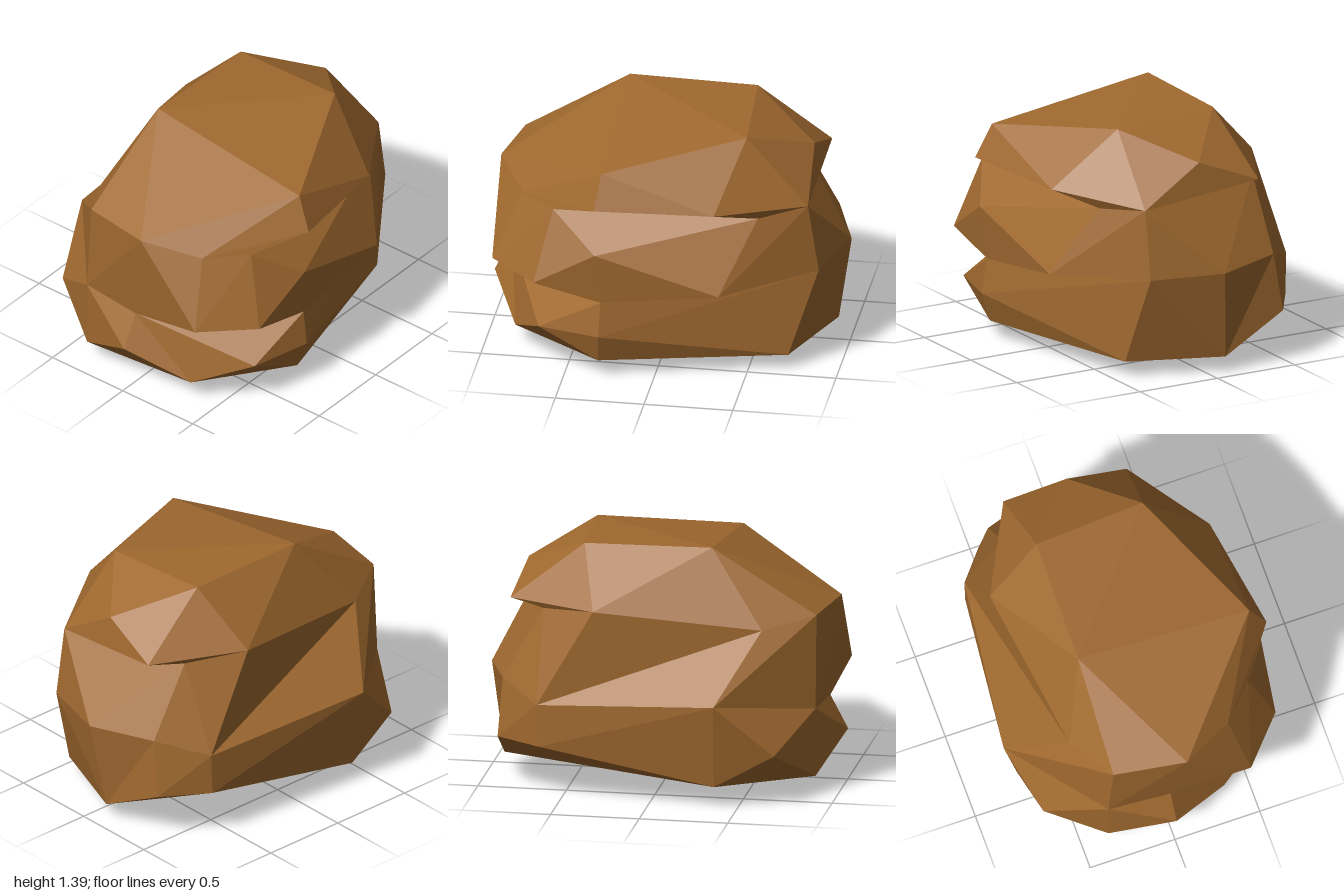
import * as THREE from 'three';
import { ConvexGeometry } from 'three/addons/geometries/ConvexGeometry.js';

const P = (x, y, z) => new THREE.Vector3(x, y, z);

export function createModel() {
  const group = new THREE.Group();
  group.name = 'rock';
  const stone = new THREE.MeshStandardMaterial({ color: 0xa0692f });
  stone.name = 'brown stone';

  // Corners shared by neighbouring slabs
  const leftPoint = P(-0.79, 0.6, 0.38);
  const leftBack = P(-0.66, 0.53, -0.64);
  const leftToe = P(-0.67, 0.3, 0.7);
  const frontLeft = P(-0.35, 0.5, 0.88);
  const footLeft = P(-0.35, 0.11, 0.88);
  const footRight = P(0.35, 0.12, 0.83);
  const footBack = P(-0.1, 0.09, -0.92);
  const footLeftBack = P(-0.66, 0.29, -0.63);
  const ledgeFront = P(0.01, 0.48, 0.9);
  const ledgeRight = P(0.72, 0.47, 0.29);
  const backLedge = P(-0.44, 0.62, -0.87);
  const backWaist = [P(0.36, 0.59, -0.88), P(-0.05, 0.6, -1), backLedge, leftBack];
  const browLeft = P(-0.32, 1.03, 0.88);
  const browRight = P(0.09, 1.04, 0.95);
  const cheek = P(-0.48, 0.97, 0.6);
  const leftShoulder = P(-0.62, 1.07, -0.33);
  const capBack = P(0.36, 0.98, -0.82);
  // Inner corners of the upper cleft, from the front round to the back left
  const notch = [P(0.39, 0.96, 0.78), P(0.58, 0.96, 0.58), P(0.5, 0.95, -0.56), P(-0.44, 1.03, -0.64)];

  // Each slab is a faceted block; the gaps between them form the clefts
  const slabs = {
    baseSlab: [
      P(-0.01, 0, 0.34),
      footLeft, footRight, P(0.69, 0.1, 0.31), P(0.43, 0.09, -0.72),
      footBack, footLeftBack, P(-0.71, 0.12, 0.37),
      P(0.66, 0.27, 0.65), P(0.75, 0.27, 0.3), leftToe,
      leftPoint, frontLeft, ledgeFront, ledgeRight, ...backWaist,
    ],
    frontToe: [P(0.01, 0.29, 1), ledgeFront, frontLeft, footLeft, footRight, leftToe, P(0, 0.3, 0.4)],
    backToe: [P(-0.49, 0.29, -0.89), backLedge, leftBack, footBack, footLeftBack, P(-0.2, 0.4, -0.4)],
    middleSlab: [
      frontLeft, ledgeFront, ledgeRight, ...backWaist,
      P(0.47, 0.58, 0.94), P(0.71, 0.56, 0.67), P(0.71, 0.55, -0.37), P(0.75, 0.77, 0.32),
      browLeft, browRight, cheek, leftShoulder, capBack, ...notch,
    ],
    leftFlank: [browLeft, cheek, leftPoint, leftBack, frontLeft, P(0, 0.6, 0)],
    capSlab: [
      P(-0.32, 1.39, 0.29), P(0.69, 1.25, 0.29), P(0.33, 1.36, -0.47), P(-0.31, 1.38, -0.43),
      P(0.78, 1.06, 0.32), P(0.68, 1.03, -0.34), P(0, 1.2, -0.8), capBack, P(-0.36, 1.06, -0.84),
      browLeft, browRight, cheek, leftShoulder, ...notch,
    ],
  };

  for (const [name, points] of Object.entries(slabs)) {
    const mesh = new THREE.Mesh(new ConvexGeometry(points), stone);
    mesh.name = name;
    group.add(mesh);
  }
  return group;
}
